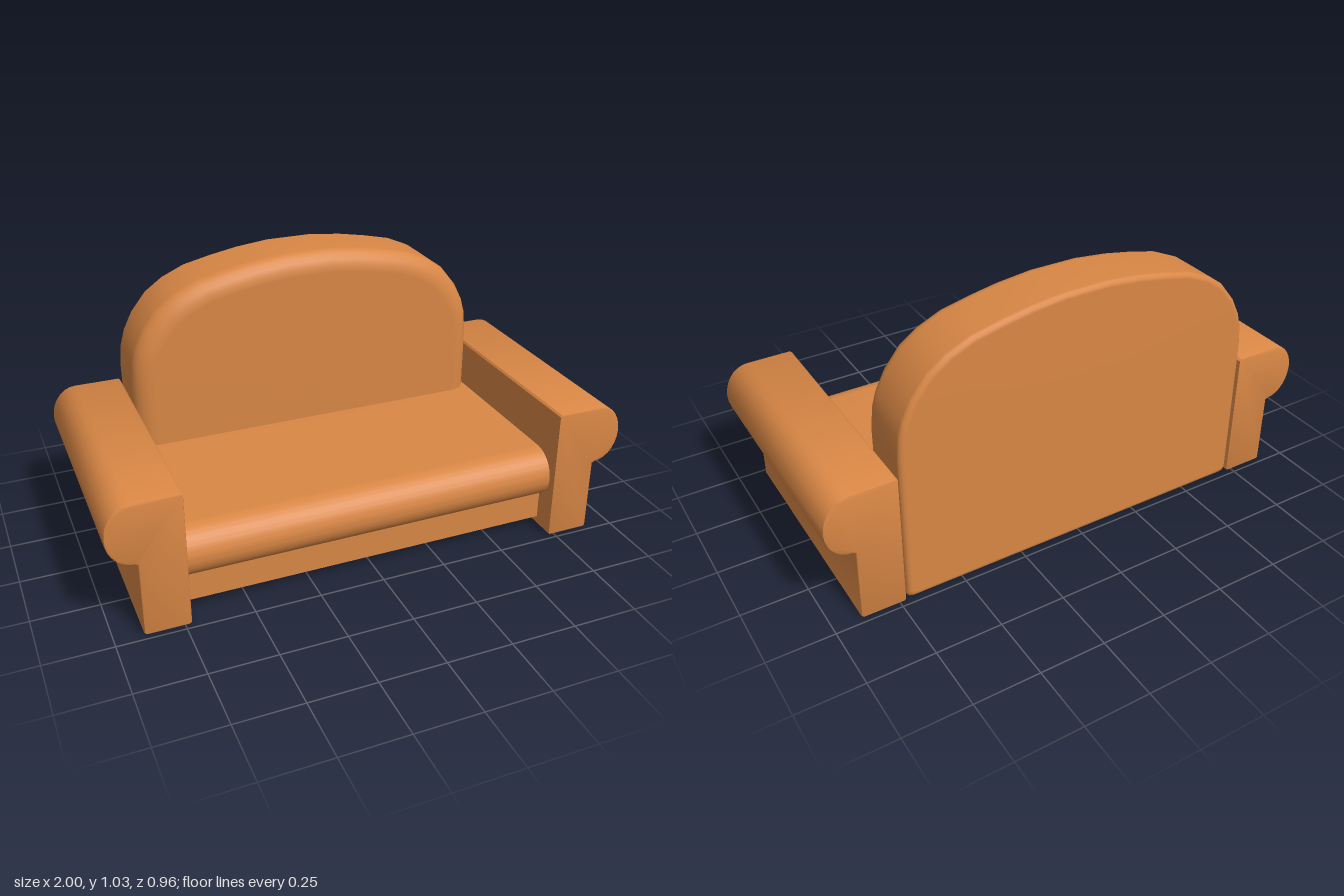
import * as THREE from 'three';
import { toCreasedNormals } from 'three/addons/utils/BufferGeometryUtils.js';

const fabric = new THREE.MeshStandardMaterial({ color: 0xd98745 });
fabric.name = 'orange fabric';

function addPart(group, geometry, name) {
  const mesh = new THREE.Mesh(geometry, fabric);
  mesh.name = name;
  group.add(mesh);
  return mesh;
}

// Rolled armrest: one profile swept from back to front; side is +1 or -1
function armGeometry(side) {
  const points = [
    [0.732, 0], [0.888, 0], [0.895, 0.007], [0.895, 0.29],
  ];
  for (let i = 0; i <= 14; i++) {
    const a = -Math.PI / 2 + (Math.PI * i) / 14;
    points.push([0.905 + 0.095 * Math.cos(a), 0.4125 + 0.1175 * Math.sin(a)]);
  }
  points.push([0.732, 0.53], [0.725, 0.523], [0.725, 0.007]);
  const shape = new THREE.Shape(points.map(([x, y]) => new THREE.Vector2(side * x, y)));
  const bevel = 0.007;
  const geometry = new THREE.ExtrudeGeometry(shape, {
    depth: 0.96 - 2 * bevel, bevelThickness: bevel, bevelSize: bevel,
    bevelOffset: -bevel, bevelSegments: 2,
  });
  geometry.translate(0, 0, -0.48 + bevel);
  return toCreasedNormals(geometry, 0.6);
}

// Seat cushion: slab with a half-round front edge, swept across the width
function cushionGeometry() {
  const shape = new THREE.Shape();
  shape.moveTo(-0.35, 0.137);
  shape.lineTo(0.348, 0.137);
  shape.absarc(0.348, 0.2385, 0.1015, -Math.PI / 2, Math.PI / 2, false);
  shape.lineTo(-0.35, 0.34);
  const geometry = new THREE.ExtrudeGeometry(shape, { depth: 1.45, bevelEnabled: false, curveSegments: 20 });
  geometry.rotateY(-Math.PI / 2); // profile x becomes z, sweep runs along -x
  geometry.translate(0.725, 0, 0);
  return toCreasedNormals(geometry, 0.6);
}

// Backrest: arched outline repeated at several depths, shrunk at the rounded edges
function backGeometry() {
  const half = [
    [0.70, 0], [0.714, 0.006], [0.72, 0.02], [0.72, 0.3], [0.72, 0.59], [0.712, 0.68],
    [0.695, 0.74], [0.66, 0.81], [0.60, 0.885], [0.53, 0.935], [0.44, 0.975],
    [0.33, 1.0], [0.22, 1.02], [0.09, 1.034],
  ];
  const outline = [...half, ...half.map(([x, y]) => [-x, y]).reverse()];
  const rings = []; // [z, inset]
  for (let i = 0; i <= 3; i++) {
    const a = (Math.PI / 2) * (i / 3);
    rings.push([-0.46 - 0.02 * Math.cos(a), 0.022 * (1 - Math.sin(a))]);
  }
  for (let i = 0; i <= 5; i++) {
    const a = (Math.PI / 2) * (i / 5);
    rings.push([-0.28 + 0.065 * Math.sin(a), 0.08 * (1 - Math.cos(a))]);
  }
  const middle = 0.517;
  const n = outline.length;
  const positions = [];
  const index = [];
  for (const [z, inset] of rings) {
    for (const [x, y] of outline) {
      positions.push(x * (1 - inset / 0.72), middle + (y - middle) * (1 - inset / middle), z);
    }
  }
  for (let r = 0; r < rings.length - 1; r++) {
    for (let i = 0; i < n; i++) {
      const a = r * n + i;
      const b = r * n + ((i + 1) % n);
      index.push(a, b, b + n, a, b + n, a + n);
    }
  }
  // Flat faces at the rear and the front
  const rear = rings.length * n;
  const last = (rings.length - 1) * n;
  positions.push(0, middle, rings[0][0], 0, middle, rings[rings.length - 1][0]);
  for (let i = 0; i < n; i++) {
    const j = (i + 1) % n;
    index.push(rear, j, i, rear + 1, last + i, last + j);
  }
  const geometry = new THREE.BufferGeometry();
  geometry.setAttribute('position', new THREE.Float32BufferAttribute(positions, 3));
  geometry.setIndex(index);
  geometry.computeVertexNormals();
  return geometry;
}

export function createModel() {
  const sofa = new THREE.Group();
  sofa.name = 'sofa';

  addPart(sofa, armGeometry(1), 'leftArm');
  addPart(sofa, armGeometry(-1), 'rightArm');
  addPart(sofa, cushionGeometry(), 'seatCushion');
  addPart(sofa, backGeometry(), 'backrest');

  // Base under the cushion, set back from the front
  const base = addPart(sofa, new THREE.BoxGeometry(1.45, 0.115, 0.74), 'seatBase');
  base.position.set(0, 0.0925, 0.02);

  return sofa;
}
